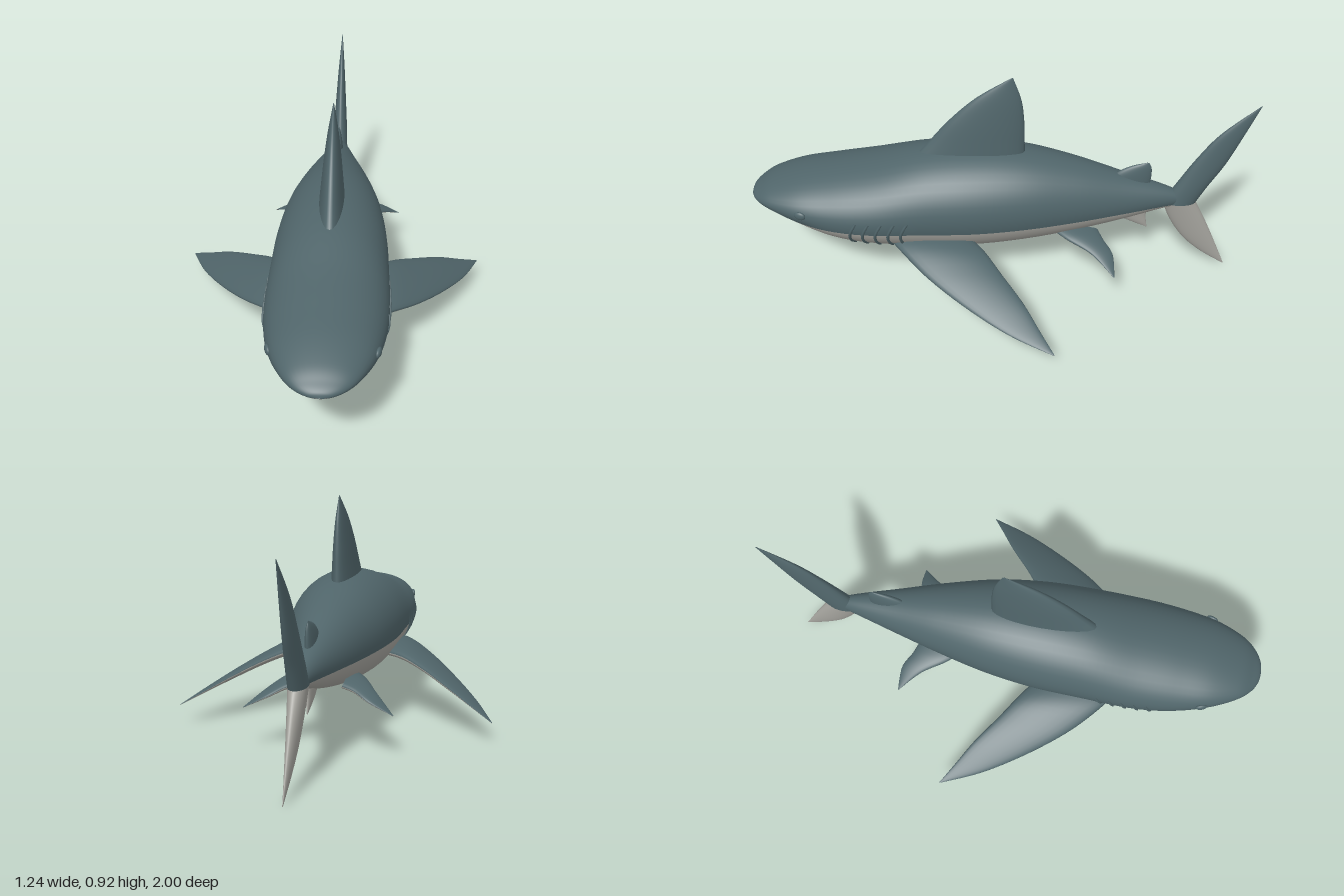
import * as THREE from 'three';

const slate = new THREE.MeshStandardMaterial({ color: 0x50656a });
slate.name = 'slate back';
const pale = new THREE.MeshStandardMaterial({ color: 0xa6a59f });
pale.name = 'pale belly';

// Smooth interpolation through rows of numbers, t from 0 to 1
function spline(rows, t) {
  const last = rows.length - 1;
  const i = Math.min(Math.floor(t * last), last - 1);
  const f = t * last - i;
  const row = (k) => rows[Math.max(0, Math.min(last, k))];
  return rows[i].map((p1, c) => {
    const p0 = row(i - 1)[c], p2 = row(i + 1)[c], p3 = row(i + 2)[c];
    return p1 + 0.5 * f * (p2 - p0 + f * (2 * p0 - 5 * p1 + 4 * p2 - p3 + f * (3 * (p1 - p2) + p3 - p0)));
  });
}

// Skin closed rings; the first half of each ring takes matA, the second matB
function loft(name, rings, matA, matB) {
  const n = rings[0].length;
  const halves = [[], []];
  for (let i = 0; i < rings.length - 1; i++) {
    for (let j = 0; j < n; j++) {
      const k = (j + 1) % n;
      const a = i * n + j, b = i * n + k, c = a + n, d = b + n;
      halves[j < n / 2 ? 0 : 1].push(a, c, b, b, c, d);
    }
  }
  const geo = new THREE.BufferGeometry();
  geo.setAttribute('position', new THREE.Float32BufferAttribute(rings.flat().flatMap((p) => p.toArray()), 3));
  geo.setIndex([...halves[0], ...halves[1]]);
  geo.addGroup(0, halves[0].length, 0);
  geo.addGroup(halves[0].length, halves[1].length, 1);
  geo.computeVertexNormals();
  const mesh = new THREE.Mesh(geo, matA === matB ? matA : [matA, matB]);
  if (matA === matB) geo.clearGroups();
  mesh.name = name;
  return mesh;
}

// Body stations: z, top y, bottom y, half width, colour line y
const BODY = [
  [1.0, 0.391, 0.388, 0.003, 0.389],
  [0.992, 0.408, 0.381, 0.045, 0.387],
  [0.965, 0.427, 0.369, 0.09, 0.384],
  [0.91, 0.457, 0.345, 0.135, 0.374],
  [0.8, 0.49, 0.293, 0.184, 0.354],
  [0.66, 0.514, 0.226, 0.216, 0.34],
  [0.5, 0.541, 0.19, 0.23, 0.333],
  [0.3, 0.585, 0.171, 0.226, 0.332],
  [0.1, 0.598, 0.169, 0.218, 0.33],
  [-0.1, 0.584, 0.188, 0.192, 0.332],
  [-0.3, 0.537, 0.22, 0.145, 0.332],
  [-0.5, 0.47, 0.265, 0.09, 0.335],
  [-0.68, 0.408, 0.315, 0.04, 0.338],
  [-0.8, 0.35, 0.33, 0.004, 0.338],
];

function makeBody() {
  const rings = [], steps = 90, half = 24;
  for (let i = 0; i <= steps; i++) {
    const [z, top, bottom, w, line] = spline(BODY, i / steps);
    const mid = (top + bottom) / 2, h = (top - bottom) / 2;
    const a0 = Math.asin(THREE.MathUtils.clamp((line - mid) / h, -0.8, 0.8));
    const ring = [];
    for (let j = 0; j < half * 2; j++) {
      const a = j < half
        ? a0 + (Math.PI - 2 * a0) * (j / half)
        : Math.PI - a0 + (Math.PI + 2 * a0) * (j / half - 1);
      ring.push(new THREE.Vector3(w * Math.cos(a), mid + h * Math.sin(a), z));
    }
    rings.push(ring);
  }
  return loft('body', rings, slate, pale);
}

// Point on the flank at a given height and length position
function flank(side, y, z) {
  let lo = 0, hi = 1;
  for (let i = 0; i < 25; i++) {
    const m = (lo + hi) / 2;
    if (spline(BODY, m)[0] > z) lo = m; else hi = m;
  }
  const [, top, bottom, w] = spline(BODY, lo);
  const s = (2 * y - top - bottom) / (top - bottom);
  return new THREE.Vector3(side * w * Math.sqrt(Math.max(0, 1 - s * s)), y, z);
}

// Fin rows from root to tip: x, y, z of front edge, then of rear edge, then half thickness
function makeFin(name, rows, upper, lower, side = 1) {
  const sections = rows.map((r) => [r[0] * side, r[1], r[2], r[3] * side, r[4], r[5], r[6]]);
  const at = (t) => {
    const r = spline(sections, t);
    return { lead: new THREE.Vector3(r[0], r[1], r[2]), trail: new THREE.Vector3(r[3], r[4], r[5]), thick: r[6] };
  };
  const root = at(0), tip = at(1);
  const span = tip.lead.clone().add(tip.trail).sub(root.lead).sub(root.trail);
  const normal = root.lead.clone().sub(root.trail).cross(span).normalize();
  const rings = [], steps = 24, n = 24;
  for (let i = 0; i <= steps; i++) {
    const { lead, trail, thick } = at(i / steps);
    const mid = lead.clone().add(trail).multiplyScalar(0.5);
    const chord = lead.clone().sub(mid);
    rings.push(Array.from({ length: n }, (_, j) => {
      const a = (j / n) * Math.PI * 2;
      return mid.clone().addScaledVector(chord, Math.cos(a)).addScaledVector(normal, thick * Math.sin(a));
    }));
  }
  return side > 0 ? loft(name, rings, upper, lower) : loft(name, rings, lower, upper);
}

// Upright fin rows: front y, z, rear y, z, half thickness
const upright = (name, rows, mat) =>
  makeFin(name, rows.map(([ly, lz, ty, tz, h]) => [0, ly, lz, 0, ty, tz, h]), mat, mat);

const PECTORAL = [
  [0.12, 0.265, 0.47, 0.12, 0.265, 0.14, 0.034],
  [0.23, 0.258, 0.39, 0.23, 0.262, 0.06, 0.03],
  [0.34, 0.218, 0.28, 0.33, 0.23, -0.01, 0.023],
  [0.45, 0.168, 0.13, 0.44, 0.18, -0.095, 0.016],
  [0.55, 0.12, -0.04, 0.54, 0.127, -0.16, 0.008],
  [0.62, 0.085, -0.21, 0.618, 0.086, -0.212, 0.001],
];
const PELVIC = [
  [0.08, 0.262, -0.2, 0.08, 0.25, -0.4, 0.022],
  [0.145, 0.25, -0.27, 0.13, 0.238, -0.42, 0.018],
  [0.205, 0.222, -0.37, 0.19, 0.21, -0.455, 0.011],
  [0.28, 0.167, -0.455, 0.278, 0.167, -0.458, 0.001],
];

export function createModel() {
  const model = new THREE.Group();
  model.name = 'shark';
  model.add(makeBody());

  // Fins along the midline
  model.add(upright('dorsalFin', [
    [0.55, 0.345, 0.53, -0.1, 0.054],
    [0.62, 0.285, 0.62, -0.098, 0.045],
    [0.73, 0.195, 0.72, -0.095, 0.034],
    [0.83, 0.09, 0.82, -0.083, 0.02],
    [0.92, -0.046, 0.919, -0.05, 0.001],
  ], slate));
  model.add(upright('secondDorsalFin', [
    [0.45, -0.44, 0.42, -0.605, 0.022],
    [0.485, -0.475, 0.47, -0.608, 0.017],
    [0.512, -0.525, 0.505, -0.605, 0.01],
    [0.53, -0.588, 0.529, -0.594, 0.001],
  ], slate));
  model.add(upright('analFin', [
    [0.3, -0.45, 0.31, -0.605, 0.02],
    [0.257, -0.495, 0.265, -0.603, 0.014],
    [0.225, -0.555, 0.23, -0.607, 0.008],
    [0.2, -0.61, 0.201, -0.612, 0.001],
  ], pale));
  model.add(upright('upperTailLobe', [
    [0.337, -0.665, 0.337, -0.8, 0.034],
    [0.42, -0.71, 0.42, -0.84, 0.031],
    [0.55, -0.78, 0.53, -0.898, 0.023],
    [0.67, -0.862, 0.66, -0.949, 0.014],
    [0.8, -0.998, 0.799, -1.0, 0.001],
  ], slate));
  model.add(upright('lowerTailLobe', [
    [0.337, -0.665, 0.337, -0.8, 0.034],
    [0.25, -0.7, 0.255, -0.842, 0.027],
    [0.15, -0.765, 0.17, -0.882, 0.019],
    [0.07, -0.85, 0.085, -0.92, 0.01],
    [0, -0.953, 0.001, -0.957, 0.001],
  ], pale));

  // Paired fins, gill ridges and eyes
  for (const side of [1, -1]) {
    const word = side > 0 ? 'left' : 'right';
    model.add(makeFin(word + 'PectoralFin', PECTORAL, slate, pale, side));
    model.add(makeFin(word + 'PelvicFin', PELVIC, slate, pale, side));

    for (let i = 0; i < 5; i++) {
      const z = 0.375 + i * 0.05;
      const points = [0, 1, 2, 3, 4, 5].map((k) => flank(side, 0.255 + k * 0.027, z + 0.02 * Math.sin(k * 0.63) - 0.003 * k));
      const tube = new THREE.TubeGeometry(new THREE.CatmullRomCurve3(points), 16, 0.006, 6);
      const gill = new THREE.Mesh(tube, slate);
      gill.name = word + 'Gill';
      model.add(gill);
    }

    const eye = new THREE.Mesh(new THREE.SphereGeometry(0.02, 20, 14), slate);
    eye.name = word + 'Eye';
    eye.scale.set(0.5, 0.9, 1.2);
    eye.position.copy(flank(side, 0.4, 0.78));
    eye.rotation.y = side * -0.3;
    model.add(eye);
  }
  return model;
}
